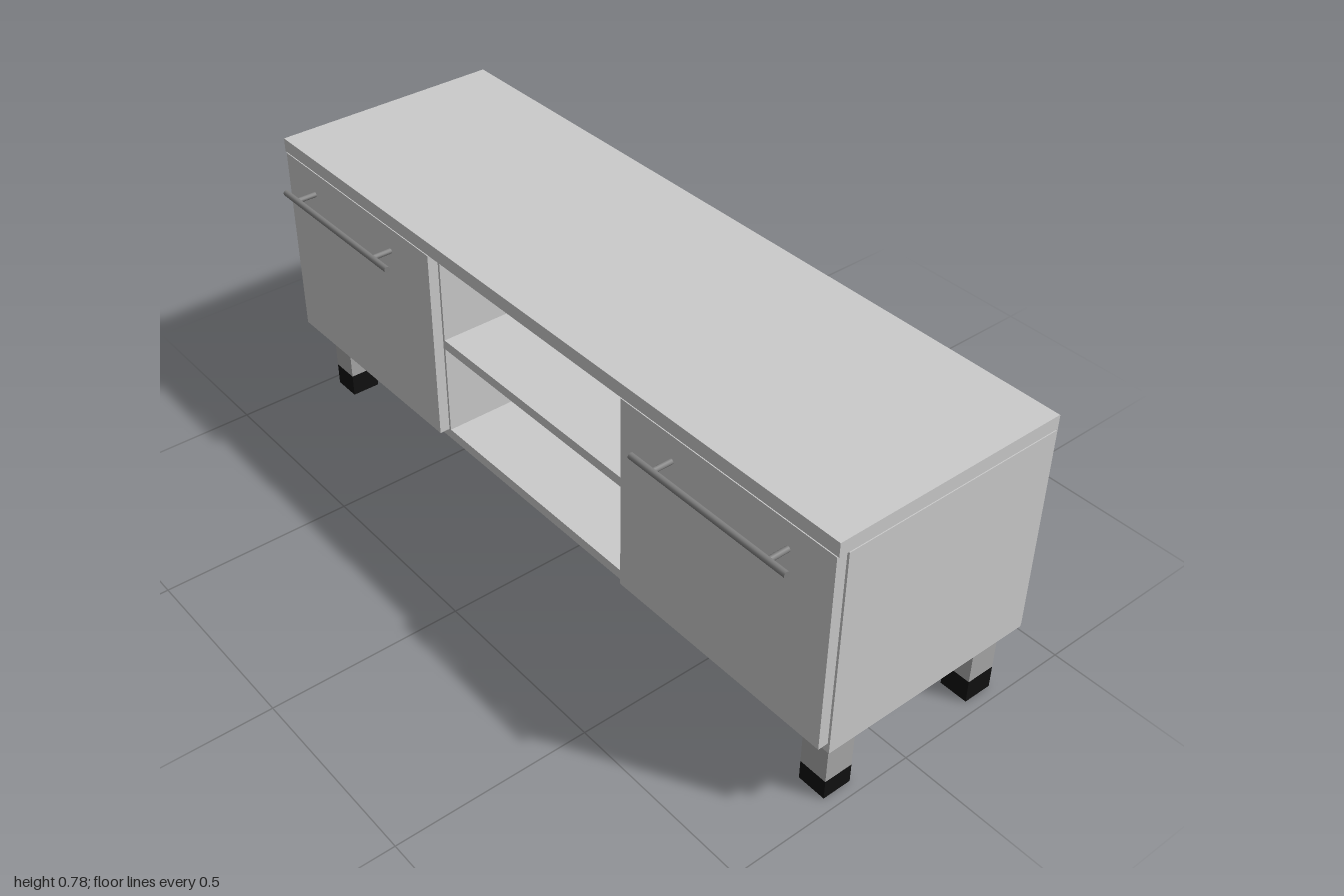
import * as THREE from 'three';

export function createModel() {
  const group = new THREE.Group();
  const panelMat = new THREE.MeshStandardMaterial({ color: 0xcccccc });
  const legMat = new THREE.MeshStandardMaterial({ color: 0xa8a8a8 });
  const footMat = new THREE.MeshStandardMaterial({ color: 0x101010 });
  const handleMat = new THREE.MeshStandardMaterial({ color: 0x808080 });

  // Box given by its limits on each axis
  function box(name, [x0, x1], [y0, y1], [z0, z1], mat = panelMat) {
    const mesh = new THREE.Mesh(new THREE.BoxGeometry(Math.abs(x1 - x0), y1 - y0, z1 - z0), mat);
    mesh.position.set((x0 + x1) / 2, (y0 + y1) / 2, (z0 + z1) / 2);
    mesh.name = name;
    group.add(mesh);
    return mesh;
  }

  function rod(name, radius, length, axis, x, y, z) {
    const geo = new THREE.CylinderGeometry(radius, radius, length, 12);
    if (axis === 'x') geo.rotateZ(Math.PI / 2);
    else geo.rotateX(Math.PI / 2);
    const mesh = new THREE.Mesh(geo, handleMat);
    mesh.position.set(x, y, z);
    mesh.name = name;
    group.add(mesh);
  }

  // Carcass
  const depth = [-0.339, 0.254];
  box('topPanel', [-1, 1], [0.743, 0.779], [-0.339, 0.282]);
  box('bottomPanel', [-0.972, 0.972], [0.191, 0.218], depth);
  box('backPanel', [-0.998, 0.998], [0.195, 0.775], [-0.343, -0.34]);
  box('middleShelf', [-0.352, 0.352], [0.465, 0.491], depth);

  for (const s of [-1, 1]) {
    const side = s > 0 ? 'left' : 'right';
    box(side + 'SidePanel', [s * 0.972, s], [0.191, 0.74], depth);
    box(side + 'Divider', [s * 0.352, s * 0.38], [0.218, 0.74], depth);
    box(side + 'Door', [s * 0.357, s * 0.995], [0.218, 0.74], [0.255, 0.282]);

    // Bar handle on two posts
    rod(side + 'HandleBar', 0.008, 0.466, 'x', s * 0.688, 0.675, 0.335);
    for (const x of [0.522, 0.868])
      rod(side + 'HandlePost', 0.007, 0.053, 'z', s * x, 0.675, 0.3085);

    // Square legs with dark feet
    for (const [end, z0, z1] of [['Front', 0.142, 0.22], ['Back', -0.305, -0.227]]) {
      const footTop = end === 'Front' && s > 0 ? 0.052 : 0.062;
      const width = [s * 0.893, s * 0.969];
      box(side + end + 'Leg', width, [footTop, 0.191], [z0, z1], legMat);
      box(side + end + 'Foot', width, [0, footTop], [z0, z1], footMat);
    }
  }
  return group;
}
